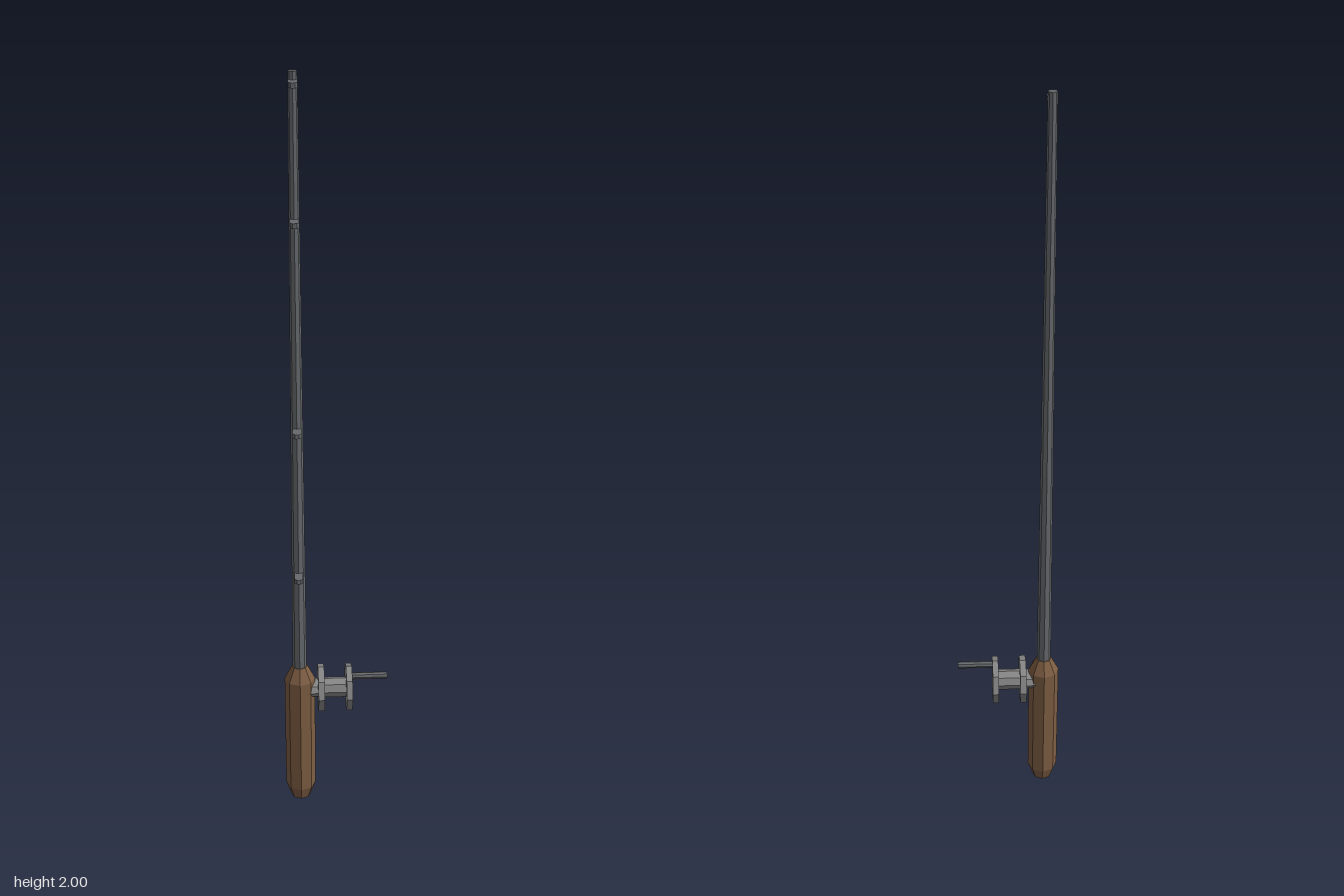
import * as THREE from 'three';

const ROD_X = -0.098, REEL_Y = 0.352;

function material(name, color) {
  const m = new THREE.MeshStandardMaterial({ color, flatShading: true });
  m.name = name;
  return m;
}

export function createModel() {
  const group = new THREE.Group();
  const wood = material('brown wood', 0x7d5d43);
  const darkMetal = material('dark metal', 0x66696c);
  const metal = material('grey metal', 0x868686);

  function add(name, geometry, mat, x, y, z) {
    const mesh = new THREE.Mesh(geometry, mat);
    mesh.name = name;
    mesh.position.set(x, y, z);
    group.add(mesh);
    return mesh;
  }

  // Octagonal cylinder lying along x, from x0 to x1
  function barX(name, radius, x0, x1, y, z, mat) {
    const geo = new THREE.CylinderGeometry(radius, radius, x1 - x0, 8);
    geo.rotateZ(Math.PI / 2);
    return add(name, geo, mat, (x0 + x1) / 2, y, z);
  }

  // Grip with chamfered ends
  const profile = [[0, 0], [0.027, 0], [0.041, 0.04], [0.041, 0.385], [0.021, 0.425], [0, 0.425]]
    .map(([r, y]) => new THREE.Vector2(r, y));
  add('grip', new THREE.LatheGeometry(profile, 8), wood, ROD_X, 0, 0);

  // Tapered rod
  add('rod', new THREE.CylinderGeometry(0.011, 0.019, 1.59, 8), darkMetal, ROD_X, 1.205, 0);

  // Line guides: flat tabs with clipped corners, pointing forward
  for (const [y, reach] of [[0.712, 0.052], [1.122, 0.049], [1.655, 0.047], [1.975, 0.045]]) {
    const shape = new THREE.Shape([[-0.011, 0], [0.011, 0], [0.011, reach - 0.006],
      [0.005, reach], [-0.005, reach], [-0.011, reach - 0.006]].map(([x, z]) => new THREE.Vector2(x, z)));
    const geo = new THREE.ExtrudeGeometry(shape, { depth: 0.012, bevelEnabled: false });
    geo.rotateX(Math.PI / 2);
    add('lineGuide', geo, darkMetal, ROD_X, y + 0.006, 0);
  }

  // Reel: mount, two flanges, spool and crank
  barX('reelMount', 0.031, -0.075, -0.045, REEL_Y, -0.001, metal).scale.y = 0.7;
  barX('innerFlange', 0.065, -0.049, -0.032, REEL_Y, -0.001, metal);
  barX('spool', 0.028, -0.035, 0.03, REEL_Y, -0.001, metal);
  barX('outerFlange', 0.065, 0.027, 0.043, REEL_Y, -0.001, metal);
  barX('crank', 0.0095, 0.04, 0.138, REEL_Y + 0.043, 0.013, darkMetal);

  return group;
}
